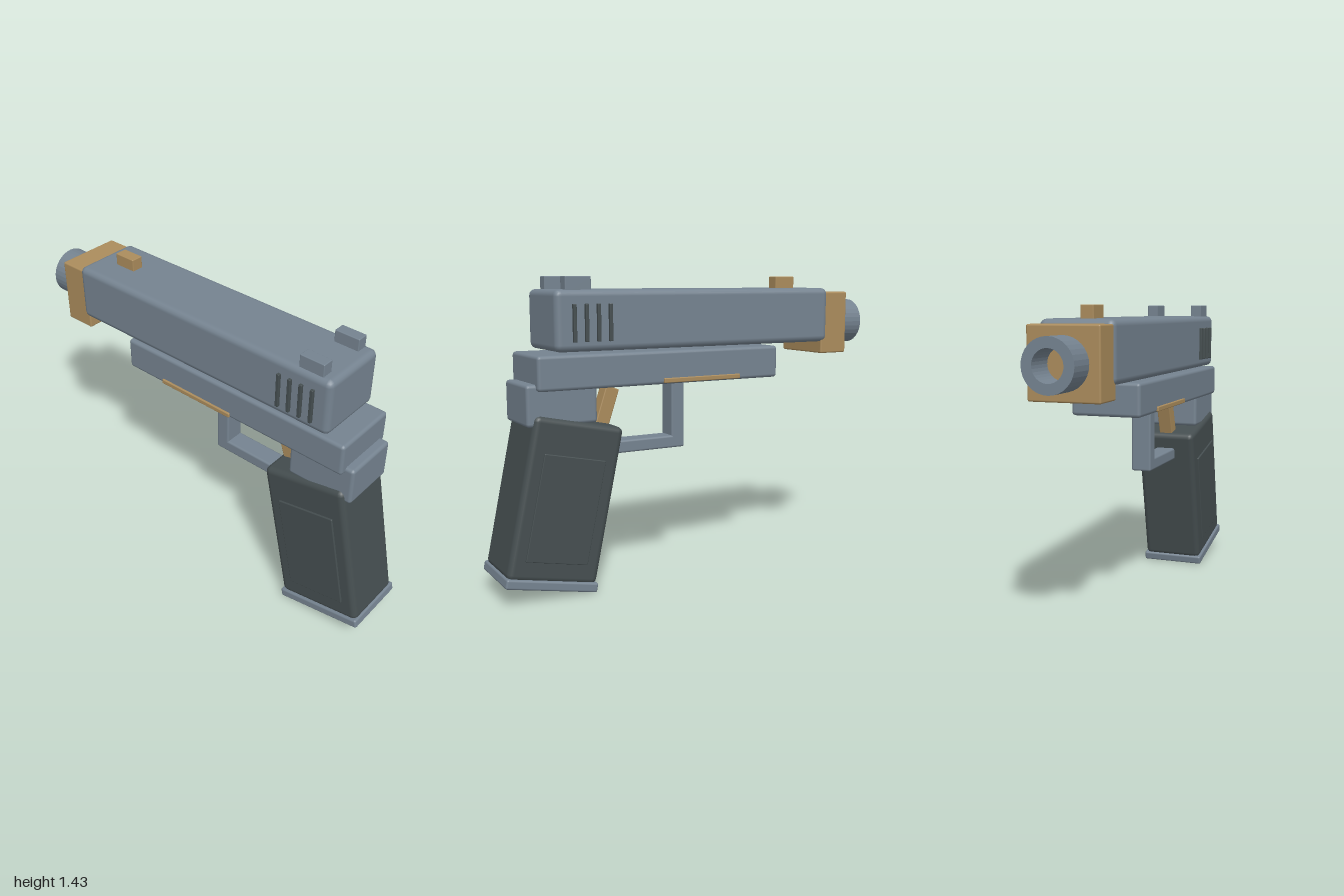
import * as THREE from 'three';
import { RoundedBoxGeometry } from 'three/addons/geometries/RoundedBoxGeometry.js';

const material = (name, color) => {
  const m = new THREE.MeshStandardMaterial({ color });
  m.name = name;
  return m;
};

export function createModel() {
  const model = new THREE.Group();
  const slate = material('slate', 0x758390);
  const tan = material('tan', 0xab8c5c);
  const dark = material('charcoal', 0x454e50);

  // Box with softened edges; tilt leans the top towards the muzzle (-z)
  const box = (name, mat, size, pos, radius = 0.01, tilt = 0) => {
    const mesh = new THREE.Mesh(new RoundedBoxGeometry(...size, 2, radius), mat);
    mesh.name = name;
    mesh.position.set(...pos);
    mesh.rotation.x = -THREE.MathUtils.degToRad(tilt);
    model.add(mesh);
    return mesh;
  };

  // Upper slide and frame
  box('slide', slate, [0.34, 0.27, 1.475], [0, 1.245, 0.003], 0.03);
  box('frame', slate, [0.33, 0.155, 1.25], [0, 1.022, 0.2], 0.016);
  box('tang', slate, [0.276, 0.186, 0.332], [0, 0.882, 0.703], 0.016);

  // Muzzle block and hollow barrel
  box('muzzleBlock', tan, [0.322, 0.31, 0.16], [0, 1.205, -0.78], 0.008);
  const tube = new THREE.Shape().absarc(0, 0, 0.113, 0, Math.PI * 2, false);
  tube.holes.push(new THREE.Path().absarc(0, 0, 0.068, 0, Math.PI * 2, true));
  const barrel = new THREE.Mesh(
    new THREE.ExtrudeGeometry(tube, { depth: 0.15, bevelEnabled: false, curveSegments: 16 }), slate);
  barrel.name = 'barrel';
  barrel.position.set(0, 1.205, -1);
  model.add(barrel);

  // Sights
  box('frontSight', tan, [0.06, 0.08, 0.113], [0, 1.397, -0.562], 0.004);
  for (const side of [-1, 1]) {
    box('rearSight', slate, [0.055, 0.08, 0.122], [side * 0.122, 1.397, 0.625], 0.004);
    // Raised grip ribs
    for (let i = 0; i < 4; i++) {
      box('slideRib', dark, [0.03, 0.165, 0.016], [side * 0.169, 1.236, 0.655 - i * 0.057], 0.003);
    }
    // Side accent strips
    box('accentStrip', tan, [0.02, 0.022, 0.415], [side * 0.165, 0.962, 0.008], 0.004);
    // Handle side panels
    box('handlePanel', dark, [0.02, 0.483, 0.297], [side * 0.153, 0.409, 0.706], 0.004, 12);
  }

  // Leaning handle with its base plate
  box('handle', dark, [0.31, 0.735, 0.432], [0, 0.441, 0.699], 0.028, 12);
  box('basePlate', slate, [0.326, 0.045, 0.442], [0, 0.071, 0.777], 0.01, 12);

  // Trigger and guard
  box('trigger', tan, [0.07, 0.24, 0.068], [0, 0.815, 0.451], 0.005, 18.5);
  box('guardPost', slate, [0.1, 0.345, 0.07], [0, 0.8, 0.075], 0.01);
  box('guardBar', slate, [0.1, 0.06, 0.46], [0, 0.648, 0.27], 0.01);

  return model;
}
